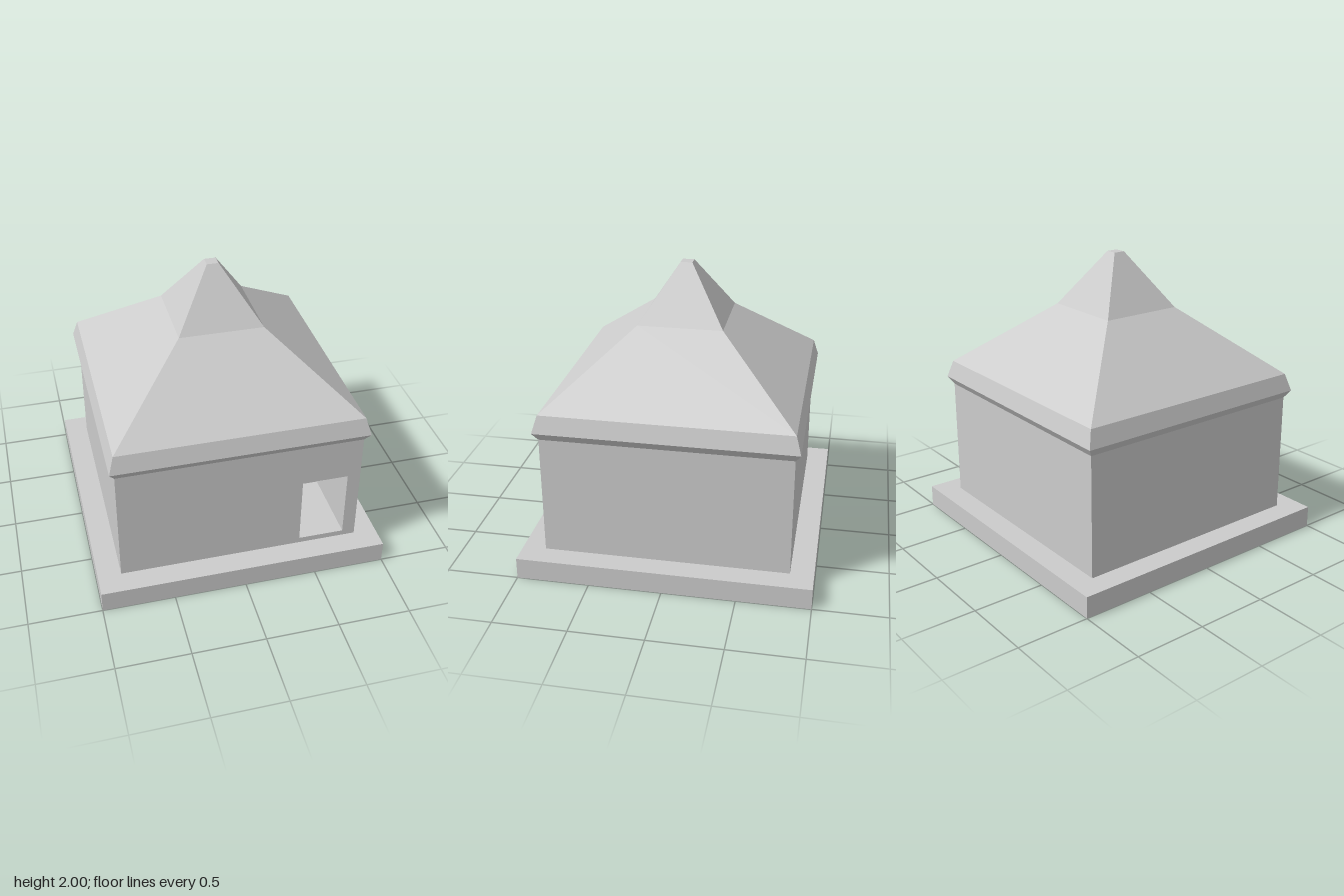
import * as THREE from 'three';

const WALL = 0.84, BASE_TOP = 0.15, EAVE = 0.99;
const DOOR = { x0: 0.43, x1: 0.75, y0: 0.19, y1: 0.69, depth: 0.55 };

const material = new THREE.MeshStandardMaterial({ color: 0xcccccc, flatShading: true });

function part(name, geometry, parent) {
  const mesh = new THREE.Mesh(geometry, material);
  mesh.name = name;
  parent.add(mesh);
  return mesh;
}

// Square-plan solid from [half width, height] pairs, bottom to top
function squareLathe(profile) {
  const points = profile.map(([h, y]) => new THREE.Vector2(h * Math.SQRT2, y));
  const geometry = new THREE.LatheGeometry(points, 4, Math.PI / 4).toNonIndexed();
  geometry.computeVertexNormals();
  return geometry;
}

// Front wall with the doorway cut out
function frontWallGeometry() {
  const shape = new THREE.Shape([
    new THREE.Vector2(-WALL, BASE_TOP), new THREE.Vector2(WALL, BASE_TOP),
    new THREE.Vector2(WALL, EAVE), new THREE.Vector2(-WALL, EAVE),
  ]);
  const { x0, x1, y0, y1 } = DOOR;
  shape.holes.push(new THREE.Path([
    new THREE.Vector2(x0, y0), new THREE.Vector2(x0, y1),
    new THREE.Vector2(x1, y1), new THREE.Vector2(x1, y0),
  ]));
  return new THREE.ShapeGeometry(shape).translate(0, 0, WALL);
}

// Inward-facing box, open towards the front
function doorRecessGeometry() {
  const { x0, x1, y0, y1, depth } = DOOR;
  const geometry = new THREE.BoxGeometry(x1 - x0, y1 - y0, depth);
  const index = Array.from(geometry.index.array);
  index.splice(24, 6); // remove the front face
  geometry.setIndex(index.reverse());
  geometry.computeVertexNormals();
  return geometry.translate((x0 + x1) / 2, (y0 + y1) / 2, WALL - depth / 2);
}

export function createModel() {
  const model = new THREE.Group();
  model.name = 'pavilion';

  // Plinth
  part('base', new THREE.BoxGeometry(2, BASE_TOP, 2).translate(0, BASE_TOP / 2, 0), model);

  // Walls: doorway in front, three plain sides
  const walls = new THREE.Group();
  walls.name = 'walls';
  model.add(walls);
  part('frontWall', frontWallGeometry(), walls);
  part('doorRecess', doorRecessGeometry(), walls);
  ['leftWall', 'backWall', 'rightWall'].forEach((name, i) => {
    const geometry = new THREE.PlaneGeometry(2 * WALL, EAVE - BASE_TOP)
      .translate(0, (EAVE + BASE_TOP) / 2, WALL)
      .rotateY((i + 1) * Math.PI / 2);
    part(name, geometry, walls);
  });

  // Roof: flared eave, shallow slope, steep peak with a flat tip
  part('roof', squareLathe([
    [WALL, EAVE], [0.875, 1.045], [0.84, 1.165], [0.29, 1.62], [0.04, 2], [0, 2],
  ]), model);

  return model;
}
